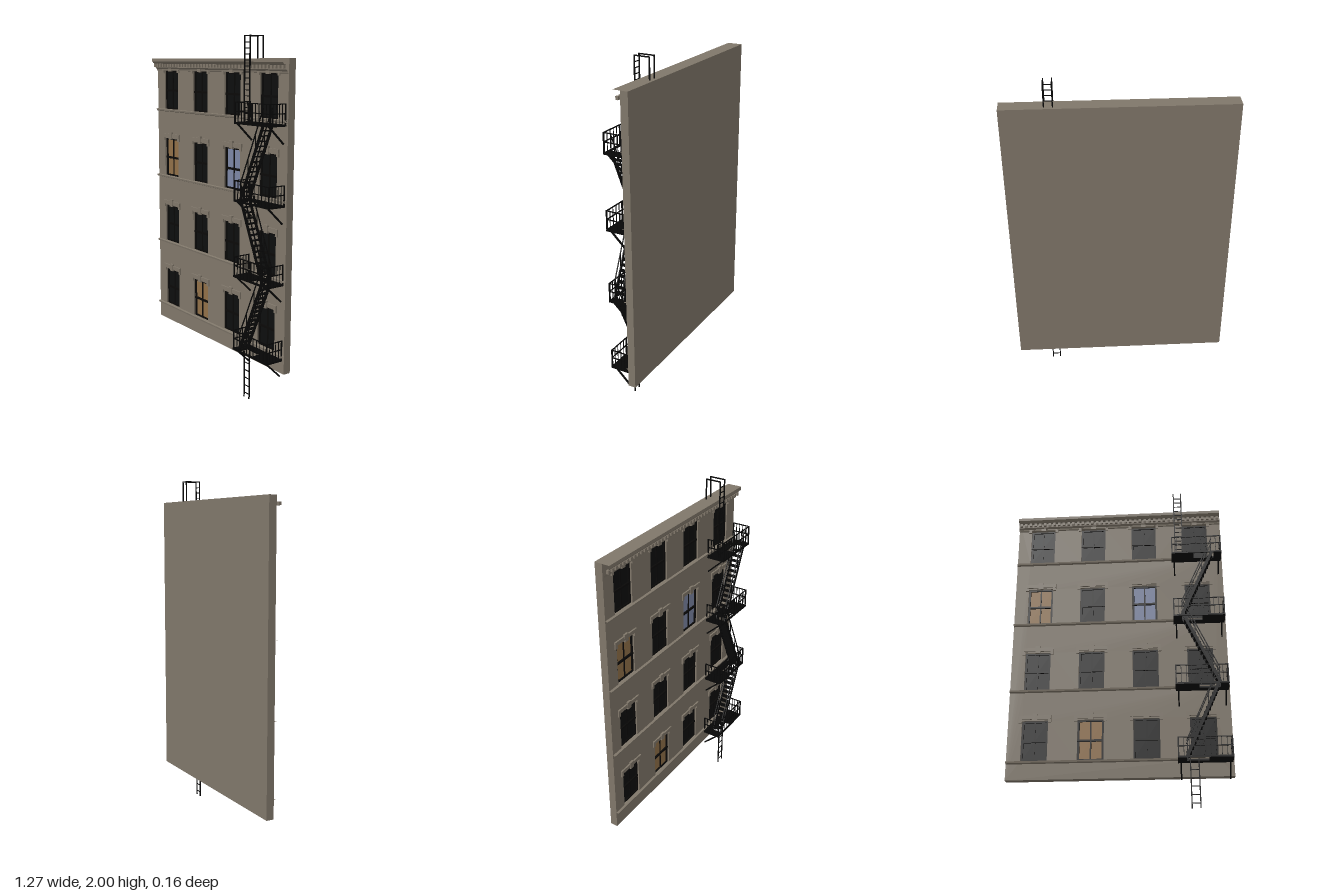
import * as THREE from 'three';

const mat = (name, color, side = THREE.FrontSide) => {
  const m = new THREE.MeshStandardMaterial({ color, side });
  m.name = name;
  return m;
};

export function createModel() {
  const stone = mat('stone', 0x80776a);
  const iron = mat('iron', 0x060606);
  const frameMat = mat('windowFrame', 0x0a0908);
  const darkGlass = mat('darkGlass', 0x0d0e0e);
  const warmGlass = mat('warmGlass', 0x917048);
  const coolGlass = mat('coolGlass', 0x7d87a6);

  const root = new THREE.Group();
  root.name = 'buildingFacade';

  const group = (name, parent = root) => {
    const g = new THREE.Group();
    g.name = name;
    parent.add(g);
    return g;
  };
  const add = (parent, name, geo, material) => {
    const m = new THREE.Mesh(geo, material);
    m.name = name;
    parent.add(m);
    return m;
  };
  // box given by its limits
  const box = (parent, name, material, x0, x1, y0, y1, z0, z1) => {
    const m = add(parent, name, new THREE.BoxGeometry(x1 - x0, y1 - y0, z1 - z0), material);
    m.position.set((x0 + x1) / 2, (y0 + y1) / 2, (z0 + z1) / 2);
    return m;
  };
  // square iron bar between two points
  const bar = (parent, name, a, b, w = 0.005, h = w) => {
    const p = new THREE.Vector3(...a), q = new THREE.Vector3(...b);
    const m = add(parent, name, new THREE.BoxGeometry(w, h, p.distanceTo(q)), iron);
    m.position.copy(p).add(q).multiplyScalar(0.5);
    m.lookAt(q);
    return m;
  };
  const rectPath = (Type, x0, x1, y0, y1) => {
    const s = new Type();
    s.moveTo(x0, y0); s.lineTo(x1, y0); s.lineTo(x1, y1); s.lineTo(x0, y1); s.closePath();
    return s;
  };

  const W = 0.633, BASE = 0.19, TOP = 1.88, FACE = -0.036, BACK = -0.08, GLASS = -0.056;

  // moulding with open ends, profile of [z, y] from bottom to top
  const moulding = (name, profile) => {
    const pos = [];
    for (let i = 0; i < profile.length - 1; i++) {
      const [z0, y0] = profile[i], [z1, y1] = profile[i + 1];
      pos.push(-W, y0, z0, W, y0, z0, W, y1, z1, -W, y0, z0, W, y1, z1, -W, y1, z1);
    }
    const g = new THREE.BufferGeometry();
    g.setAttribute('position', new THREE.Float32BufferAttribute(pos, 3));
    g.computeVertexNormals();
    add(root, name, g, stone);
  };

  // wall with window openings, closed by a back layer
  const columns = [-0.478, -0.16, 0.156, 0.475];
  const rows = [0.297, 0.72, 1.148, 1.568];
  const WW = 0.15, WH = 0.236;
  const wallShape = rectPath(THREE.Shape, -W, W, BASE, TOP);
  for (const x of columns) for (const y of rows)
    wallShape.holes.push(rectPath(THREE.Path, x - WW / 2, x + WW / 2, y, y + WH));
  const wallGeo = new THREE.ExtrudeGeometry(wallShape, { depth: FACE - GLASS, bevelEnabled: false });
  wallGeo.translate(0, 0, GLASS);
  add(root, 'wall', wallGeo, stone);
  box(root, 'wallBack', stone, -W, W, BASE, TOP, BACK, GLASS);

  // windows with frames, sash bars, hood and keystone
  const lit = { '0,1': warmGlass, '2,0': warmGlass, '2,2': coolGlass };
  rows.forEach((y, r) => columns.forEach((x, c) => {
    const g = group('window');
    const x0 = x - WW / 2, x1 = x + WW / 2, y1 = y + WH, mid = y + WH * 0.49;
    box(g, 'pane', lit[`${r},${c}`] || darkGlass, x0, x1, y, y1, GLASS, GLASS + 0.004);
    const f = (n, a, b, d, e, z = 0.011) => box(g, n, frameMat, a, b, d, e, GLASS, GLASS + z);
    f('frameSide', x0, x0 + 0.012, y, y1);
    f('frameSide', x1 - 0.012, x1, y, y1);
    f('frameHead', x0, x1, y1 - 0.009, y1);
    f('frameFoot', x0, x1, y, y + 0.009);
    f('sashBar', x - 0.004, x + 0.004, y, y1, 0.008);
    f('meetingRail', x0, x1, mid - 0.006, mid + 0.006, 0.013);
    const hood = group('windowHood', g);
    box(hood, 'hoodBar', stone, x0 - 0.018, x1 + 0.018, y1 + 0.008, y1 + 0.03, FACE, -0.027);
    for (const s of [-1, 1]) {
      const cx = x + s * (WW / 2 + 0.009);
      box(hood, 'hoodDrop', stone, cx - 0.009, cx + 0.009, y1 - 0.012, y1 + 0.008, FACE, -0.028);
    }
    box(hood, 'keystone', stone, x - 0.015, x + 0.015, y1 - 0.004, y1 + 0.04, FACE, -0.024);
  }));

  // sill courses and cornice
  for (const y of rows)
    moulding('sillCourse', [[FACE, y - 0.016], [-0.024, y - 0.012], [-0.022, y - 0.002], [FACE, y]]);
  moulding('cornice', [[FACE, 1.804], [-0.029, 1.806], [-0.027, 1.815], [-0.018, 1.824],
    [-0.018, 1.847], [-0.004, 1.85], [0.007, 1.862], [0.007, TOP], [FACE, TOP]]);
  const dentils = group('dentils');
  for (let i = 0; i < 42; i++) {
    const x = -W + 0.015 + i * (2 * W - 0.03) / 41;
    box(dentils, 'dentil', stone, x - 0.008, x + 0.008, 1.828, 1.847, -0.019, -0.004);
  }

  // fire escape balconies
  const escape = group('fireEscape');
  const X0 = 0.326, X1 = 0.626, Z0 = -0.03, Z1 = 0.08;
  const floors = [0.272, 0.695, 1.12, 1.542];
  floors.forEach((y, i) => {
    const g = group('balcony', escape);
    const h0 = i % 2 ? 0.46 : 0.375;
    const deck = rectPath(THREE.Shape, X0, X1, -Z1, -Z0);
    deck.holes.push(rectPath(THREE.Path, h0, h0 + 0.12, -0.073, -0.014));
    const geo = new THREE.ExtrudeGeometry(deck, { depth: 0.01, bevelEnabled: false });
    geo.rotateX(-Math.PI / 2);
    geo.translate(0, y - 0.006, 0);
    add(g, 'deck', geo, iron);
    const zf = Z1 - 0.004, xa = X0 + 0.004, xb = X1 - 0.004;
    for (const h of [0.06, 0.109]) {
      bar(g, 'frontRail', [X0, y + h, zf], [X1, y + h, zf]);
      for (const x of [xa, xb]) bar(g, 'sideRail', [x, y + h, Z0], [x, y + h, Z1]);
    }
    for (let k = 0; k <= 10; k++) {
      const x = xa + (xb - xa) * k / 10;
      bar(g, 'baluster', [x, y, zf], [x, y + 0.109, zf], k % 5 ? 0.003 : 0.007);
    }
    for (const x of [xa, xb]) for (let k = 0; k <= 5; k++) {
      const z = Z0 + 0.003 + (zf - Z0 - 0.003) * k / 5;
      bar(g, 'baluster', [x, y, z], [x, y + 0.109, z], k % 5 ? 0.003 : 0.006);
    }
    for (const x of [0.342, 0.606])
      bar(g, 'bracket', [x, y - 0.003, 0.07], [x, y - 0.098, Z0], 0.008);
  });

  // zigzag stairs with treads and handrails
  for (let i = 0; i < 3; i++) {
    const g = group('stair', escape);
    const [xb, xt] = i % 2 ? [0.578, 0.387] : [0.375, 0.567];
    const yb = floors[i], yt = floors[i + 1];
    for (const z of [0.014, 0.074]) {
      bar(g, 'stringer', [xb, yb, z], [xt, yt, z], 0.005, 0.018);
      bar(g, 'handrail', [xb, yb + 0.09, z], [xt, yt + 0.09, z], 0.005);
      for (const t of [0.02, 0.35, 0.68, 0.98]) {
        const x = xb + (xt - xb) * t, y = yb + (yt - yb) * t;
        bar(g, 'handrailPost', [x, y, z], [x, y + 0.09, z], 0.004);
      }
    }
    for (let k = 1; k < 15; k++) {
      const x = xb + (xt - xb) * k / 15, y = yb + (yt - yb) * k / 15;
      box(g, 'tread', iron, x - 0.014, x + 0.014, y - 0.002, y + 0.002, 0.014, 0.074);
    }
  }

  // ladders
  const ladder = (name, xa, xb, z, y0, y1, step) => {
    const g = group(name, escape);
    for (const x of [xa, xb]) bar(g, 'ladderRail', [x, y0, z], [x, y1, z], 0.006);
    for (let y = y0 + step * 0.6; y < y1 - 0.02; y += step)
      bar(g, 'rung', [xa, y, z], [xb, y, z], 0.004);
    return g;
  };
  ladder('dropLadder', 0.392, 0.438, 0.048, 0, 0.27, 0.045);
  const roof = ladder('roofLadder', 0.35, 0.396, 0.03, 1.542, 2, 0.031);
  for (const x of [0.35, 0.396]) {
    bar(roof, 'roofHook', [x, 1.997, 0.033], [x, 1.997, -0.06], 0.006);
    bar(roof, 'roofHookLeg', [x, 2, -0.058], [x, TOP - 0.005, -0.058], 0.006);
  }
  return root;
}
